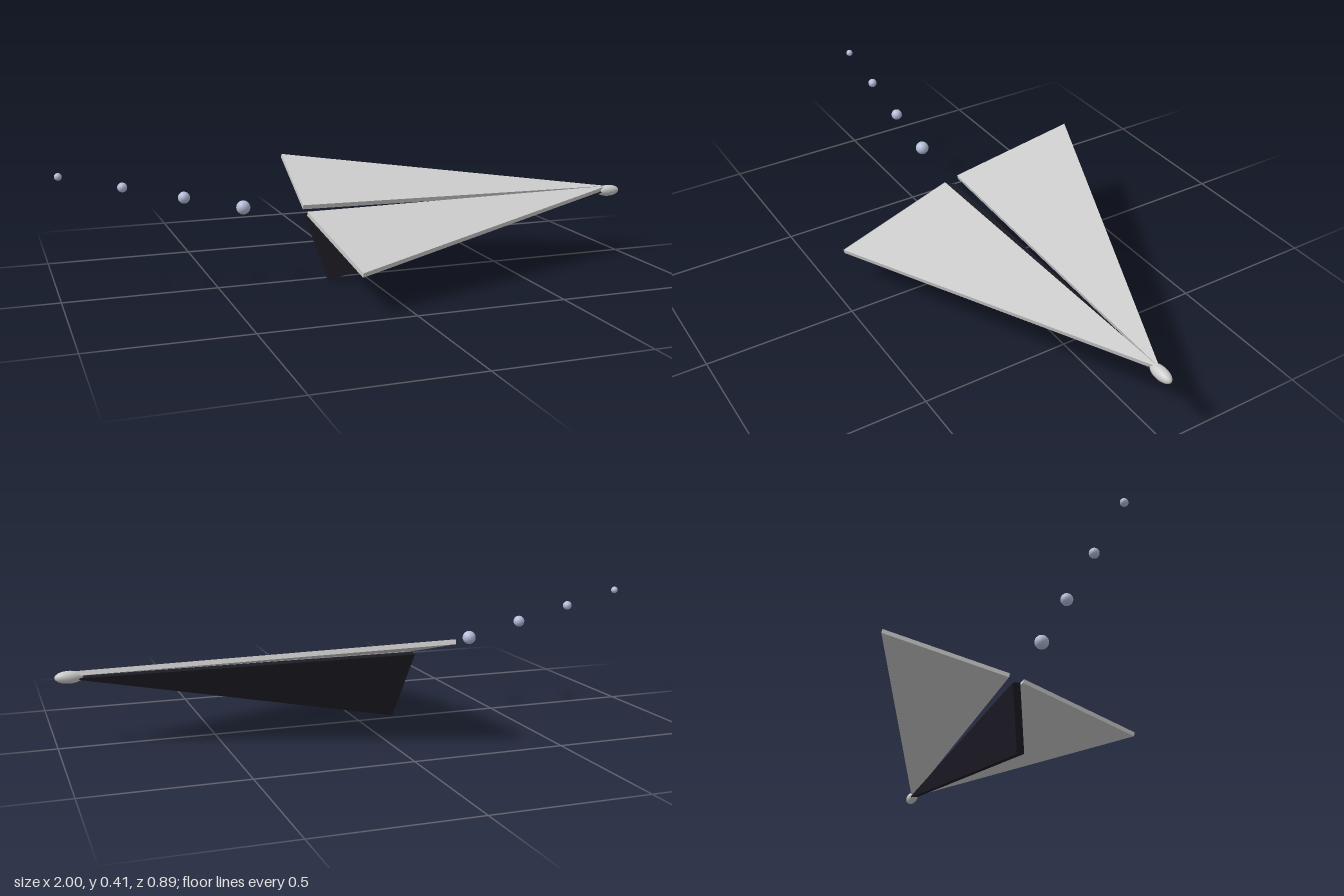
import * as THREE from 'three';

const paper = new THREE.MeshStandardMaterial({ color: 0xcccccc });
const dark = new THREE.MeshStandardMaterial({ color: 0x1c1b24 });
const puff = new THREE.MeshStandardMaterial({ color: 0xb4bdd8 });

// Thin flat sheet cut from an outline, centred on its own thickness
function sheet(points, thickness) {
  const shape = new THREE.Shape(points.map(([x, y]) => new THREE.Vector2(x, y)));
  const geometry = new THREE.ExtrudeGeometry(shape, { depth: thickness, bevelEnabled: false });
  return geometry.translate(0, 0, -thickness / 2);
}

function add(parent, name, geometry, material) {
  const mesh = new THREE.Mesh(geometry, material);
  mesh.name = name;
  parent.add(mesh);
  return mesh;
}

export function createModel() {
  const model = new THREE.Group();
  model.name = 'paperPlane';

  // Wings: two mirrored sheets, banked together about the long axis
  const wings = new THREE.Group();
  wings.name = 'wings';
  wings.position.y = 0.242;
  wings.rotation.x = THREE.MathUtils.degToRad(14);
  model.add(wings);
  for (const side of [1, -1]) {
    const outline = [[0.95, 0], [-0.2, 0.025 * side], [-0.155, 0.458 * side]];
    const geometry = sheet(outline, 0.015).rotateX(Math.PI / 2);
    add(wings, side > 0 ? 'frontWing' : 'backWing', geometry, paper);
  }

  // Keel: the folded body hanging below, tilted slightly forward
  const keel = add(model, 'keel',
    sheet([[0.95, 0.004], [-0.2, 0], [-0.133, -0.223]], 0.026), dark);
  keel.position.y = 0.227;
  keel.rotation.x = THREE.MathUtils.degToRad(-10);

  // Nose tip: stretched sphere
  const nose = add(model, 'noseTip', new THREE.SphereGeometry(0.02, 24, 16), paper);
  nose.scale.x = 2.2;
  nose.position.set(0.955, 0.232, 0);

  // Trail: shrinking balls rising behind the tail
  for (let i = 0; i < 4; i++) {
    const ball = add(model, 'trailBall' + (i + 1),
      new THREE.SphereGeometry(0.023 - 0.0037 * i, 20, 14), puff);
    ball.position.set(-0.41 - 0.1927 * i, 0.268 + 0.046 * i, 0);
  }

  return model;
}
